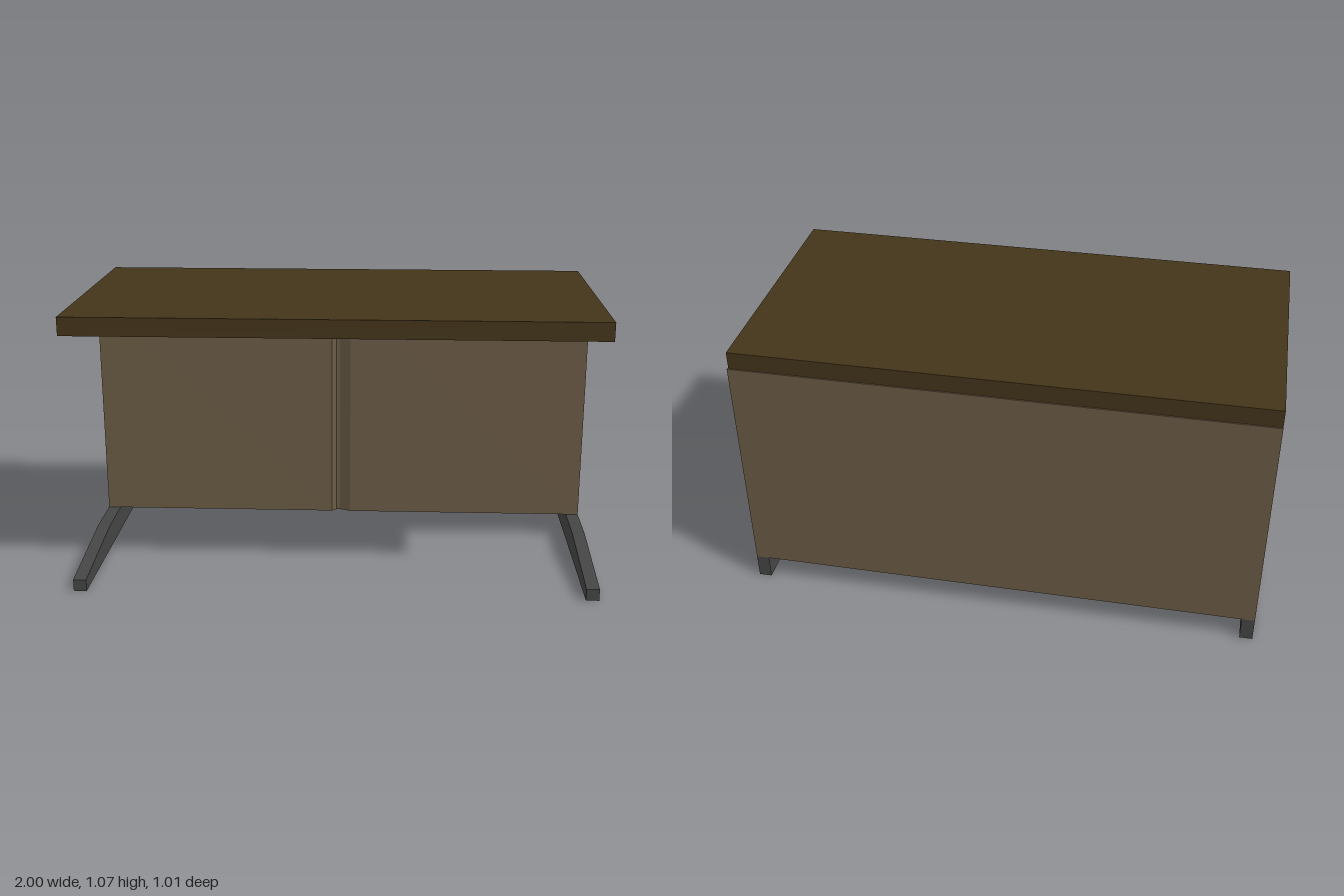
import * as THREE from 'three';

const material = (color) => new THREE.MeshStandardMaterial({ color, flatShading: true });

function outline(points) {
  return new THREE.Shape(points.map(([x, y]) => new THREE.Vector2(x, y)));
}

function extrude(points, depth) {
  return new THREE.ExtrudeGeometry(outline(points), { depth, bevelEnabled: false });
}

export function createModel() {
  const group = new THREE.Group();
  const add = (name, geometry, mat) => {
    const mesh = new THREE.Mesh(geometry, mat);
    mesh.name = name;
    group.add(mesh);
    return mesh;
  };
  const wood = material(0x44351a);
  const panel = material(0x6b5b45);
  const metal = material(0x454545);

  // Desktop slab
  add('desktop', new THREE.BoxGeometry(1.995, 0.07, 0.998), wood).position.set(-0.002, 1.035, -0.001);

  // Cabinet body: plan outline (x, -z) with a shallow groove mid-front, raised upright
  const body = extrude([
    [-1, 0.137], [-0.04, 0.137], [-0.022, 0.157], [-0.008, 0.157],
    [0.036, 0.137], [1, 0.137], [1, 0.505], [-1, 0.505],
  ], 0.905);
  body.rotateX(-Math.PI / 2);
  add('cabinetBody', body, panel).position.y = 0.096;

  // Feet: tapered side profile (z, y), one at each end
  const foot = extrude([
    [-0.505, 0], [0.505, 0], [0.505, 0.046], [0.075, 0.096], [-0.505, 0.096],
  ], 0.05);
  foot.translate(0, 0, -0.025);
  foot.rotateY(-Math.PI / 2);
  for (const side of [-1, 1]) {
    add(side > 0 ? 'leftFoot' : 'rightFoot', foot, metal).position.x = side * 0.975;
  }
  return group;
}
